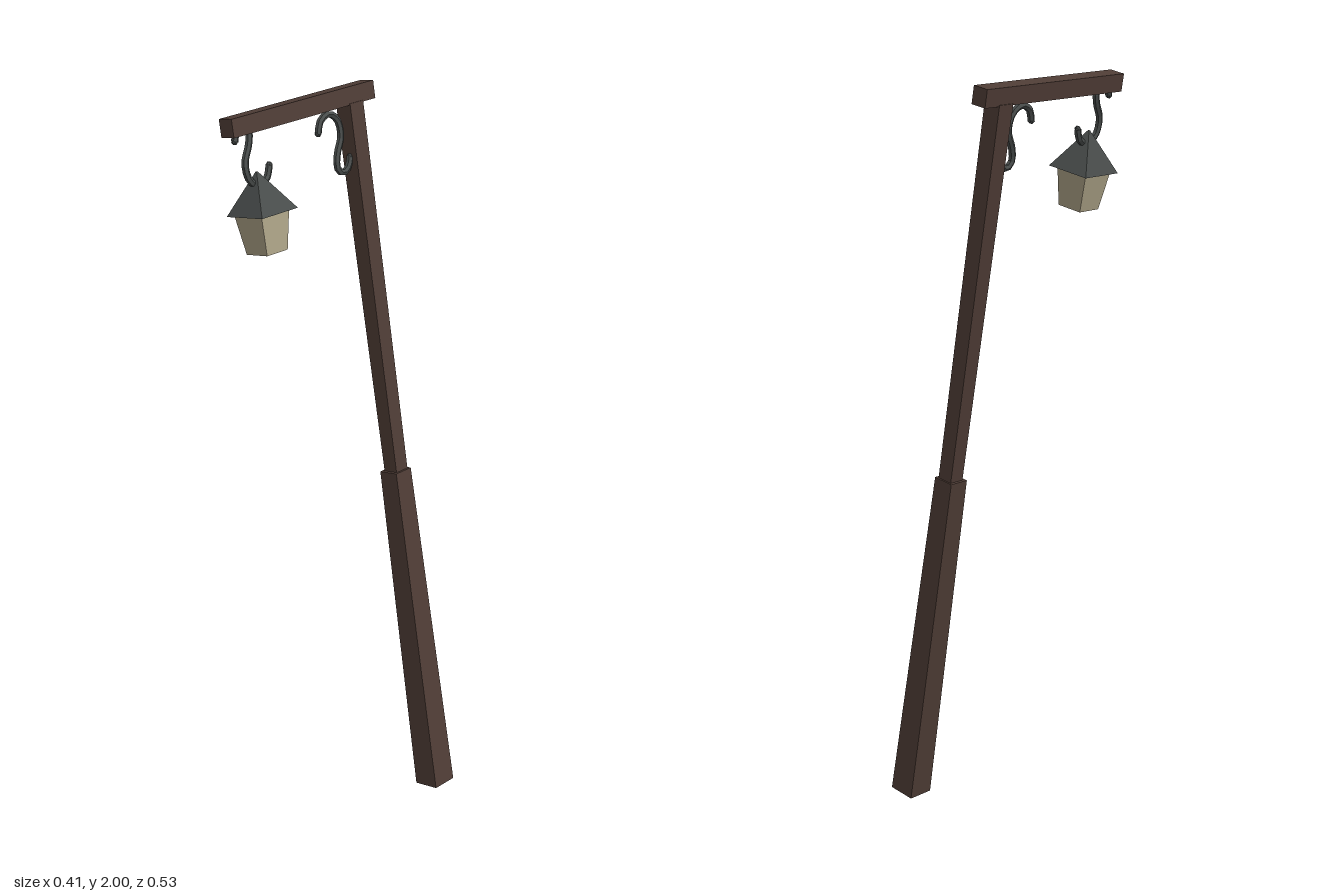
import * as THREE from 'three';

const wood = new THREE.MeshStandardMaterial({ color: 0x4f3d36, flatShading: true });
wood.name = 'dark wood';
const iron = new THREE.MeshStandardMaterial({ color: 0x484c4b, flatShading: true });
iron.name = 'dark iron';
const glass = new THREE.MeshStandardMaterial({ color: 0xb0a68a, flatShading: true });
glass.name = 'pale glass';

// Square post, tapered from the bottom width to the top width
function taperedPost(name, bottomWidth, topWidth, y0, y1, z, material) {
  const geometry = new THREE.CylinderGeometry(topWidth * Math.SQRT1_2, bottomWidth * Math.SQRT1_2, y1 - y0, 4);
  geometry.rotateY(Math.PI / 4);
  const mesh = new THREE.Mesh(geometry, material);
  mesh.name = name;
  mesh.position.set(0, (y0 + y1) / 2, z);
  return mesh;
}

// S-shaped hook as [z, y] points, running from the wide curl to the narrow one
const hookPoints = [
  [-0.055, 1.916], [-0.068, 1.946], [-0.1, 1.96], [-0.131, 1.94], [-0.138, 1.895],
  [-0.116, 1.85], [-0.11, 1.815], [-0.128, 1.797], [-0.152, 1.81], [-0.163, 1.835],
];

function hook(name, points) {
  const curve = new THREE.CatmullRomCurve3(points.map(([z, y]) => new THREE.Vector3(0, y, z)));
  const group = new THREE.Group();
  group.name = name;
  group.add(new THREE.Mesh(new THREE.TubeGeometry(curve, 20, 0.0095, 6), iron));
  // Closed tips
  for (const t of [0, 1]) {
    const tip = new THREE.Mesh(new THREE.IcosahedronGeometry(0.0095, 0), iron);
    tip.position.copy(curve.getPoint(t));
    group.add(tip);
  }
  return group;
}

export function createModel() {
  const model = new THREE.Group();
  model.name = 'leaningLampPost';

  // Everything leans together
  const lean = new THREE.Group();
  lean.name = 'leaningParts';
  lean.position.set(0.163, 0.0065, 0);
  lean.rotation.z = THREE.MathUtils.degToRad(9.85);
  model.add(lean);

  // Two-stage post
  lean.add(taperedPost('lowerPost', 0.076, 0.06, 0, 0.95, -0.185, wood));
  lean.add(taperedPost('upperPost', 0.045, 0.051, 0.94, 1.975, -0.187, wood));

  // Cross beam
  const beam = new THREE.Mesh(new THREE.BoxGeometry(0.046, 0.048, 0.527), wood);
  beam.name = 'crossBeam';
  beam.position.set(0, 1.995, 0.001);
  lean.add(beam);

  // The lantern hook is the brace hook turned half a circle
  lean.add(hook('braceHook', hookPoints));
  lean.add(hook('lanternHook', hookPoints.map(([z, y]) => [0.08 - z, 3.792 - y])));

  // Lantern
  const lantern = new THREE.Group();
  lantern.name = 'lantern';
  lantern.add(taperedPost('lanternGlass', 0.075, 0.1, 1.658, 1.763, 0.184, glass));
  lantern.add(taperedPost('lanternRoof', 0.13, 0.004, 1.762, 1.868, 0.182, iron));
  lean.add(lantern);

  return model;
}
